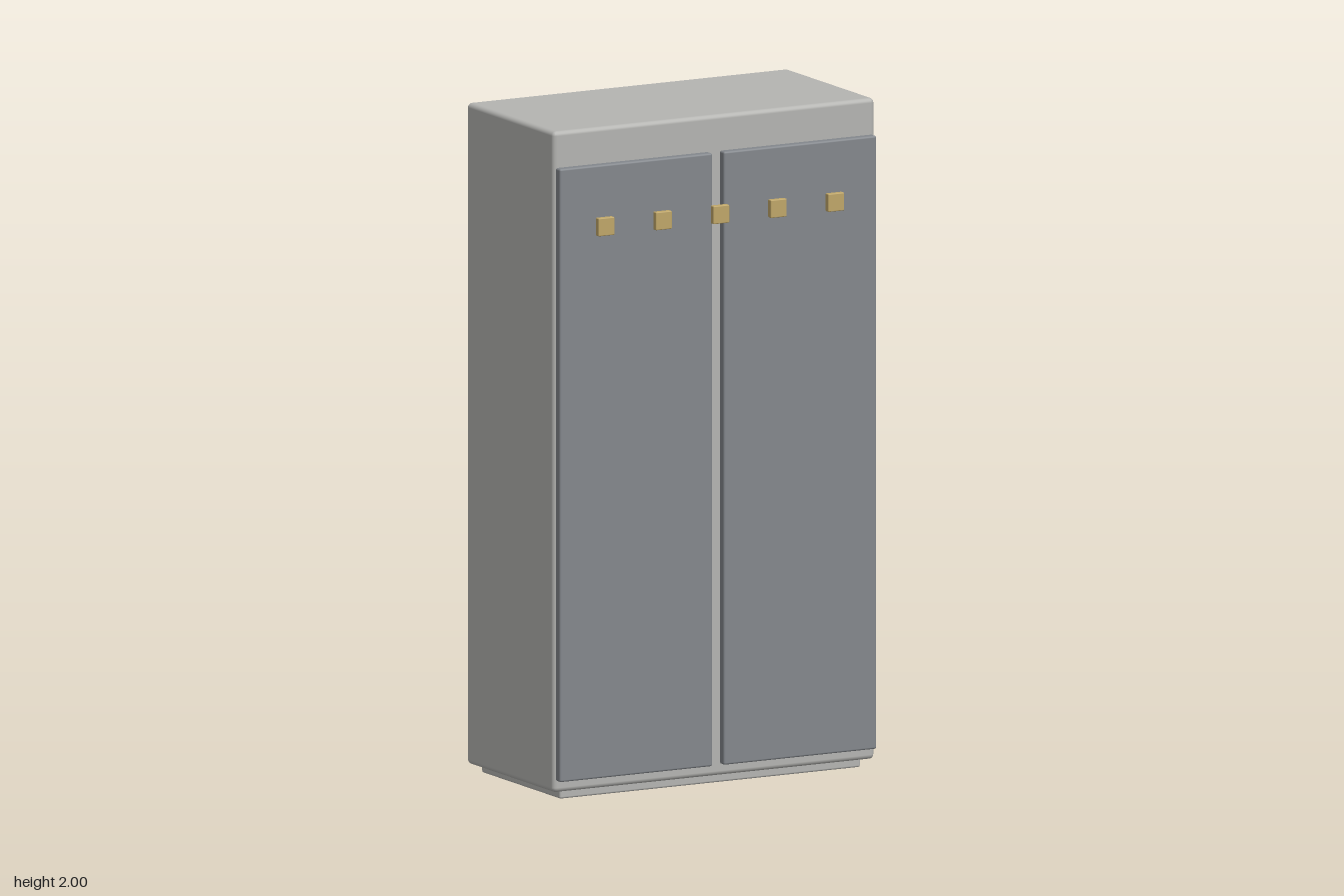
import * as THREE from 'three';
import { RoundedBoxGeometry } from 'three/addons/geometries/RoundedBoxGeometry.js';

const paint = (name, color) => {
  const material = new THREE.MeshStandardMaterial({ color });
  material.name = name;
  return material;
};

export function createModel() {
  const group = new THREE.Group();
  group.name = 'cabinet';
  const bodyGrey = paint('body grey', 0xb4b4b1);
  const doorGrey = paint('door slate grey', 0x83878c);
  const brass = paint('brass', 0xbfa668);

  // Box with softened edges, given by its minimum and maximum corners
  const addBox = (name, material, min, max, radius) => {
    const size = max.map((v, i) => v - min[i]);
    const mesh = new THREE.Mesh(new RoundedBoxGeometry(...size, 2, radius), material);
    mesh.position.set(...max.map((v, i) => (v + min[i]) / 2));
    mesh.name = name;
    group.add(mesh);
  };

  // Carcass on a recessed plinth
  addBox('body', bodyGrey, [-0.54, 0.025, -0.285], [0.54, 2, 0.24], 0.014);
  addBox('plinth', bodyGrey, [-0.505, 0, -0.256], [0.505, 0.05, 0.216], 0.006);

  // Pair of doors with a gap between them
  addBox('leftDoor', doorGrey, [0.019, 0.06, 0.235], [0.532, 1.892, 0.265], 0.006);
  addBox('rightDoor', doorGrey, [-0.532, 0.06, 0.235], [-0.019, 1.892, 0.265], 0.006);

  // Row of square knobs
  for (let i = -2; i <= 2; i++) {
    const x = i * 0.193;
    addBox(`knob${i + 3}`, brass, [x - 0.027, 1.683, 0.265], [x + 0.027, 1.737, 0.284], 0.003);
  }
  return group;
}
